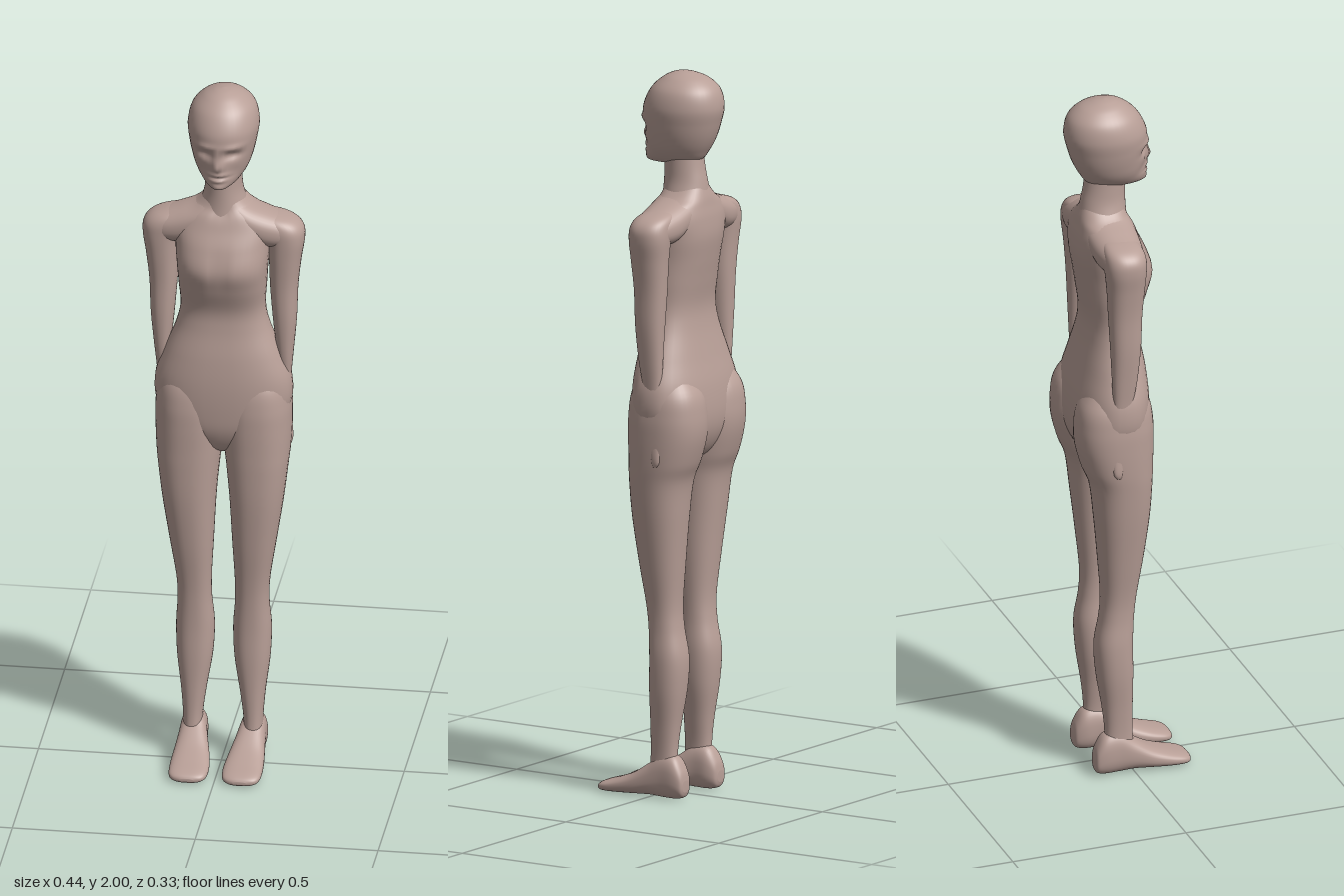
import * as THREE from 'three';

const SIDES = 40, STEPS = 6;

// Smooth closed loft. Each section is [height, xMin, xMax, zMin, zMax], listed upward.
function loft(sections, power = 2, steps = STEPS) {
  const n = sections.length, rows = [];
  const at = (i) => sections[Math.min(n - 1, Math.max(0, i))];
  for (let i = 0; i < n - 1; i++) {
    for (let s = 0; s < steps; s++) {
      const t = s / steps;
      rows.push(at(i).map((p1, k) => {
        const p0 = at(i - 1)[k], p2 = at(i + 1)[k], p3 = at(i + 2)[k];
        return 0.5 * (2 * p1 + (p2 - p0) * t + (2 * p0 - 5 * p1 + 4 * p2 - p3) * t * t
          + (3 * p1 - p0 - 3 * p2 + p3) * t * t * t);
      }));
    }
  }
  rows.push(at(n - 1));
  const pos = [], index = [];
  const bend = (v) => Math.sign(v) * Math.pow(Math.abs(v), 2 / power);
  for (const [y, x0, x1, z0, z1] of rows) {
    for (let j = 0; j < SIDES; j++) {
      const a = (j / SIDES) * Math.PI * 2;
      pos.push((x0 + x1) / 2 + bend(Math.cos(a)) * (x1 - x0) / 2, y,
        (z0 + z1) / 2 + bend(Math.sin(a)) * (z1 - z0) / 2);
    }
  }
  for (let i = 0; i < rows.length - 1; i++) {
    for (let j = 0; j < SIDES; j++) {
      const k = (j + 1) % SIDES, a = i * SIDES + j, b = i * SIDES + k;
      index.push(a, a + SIDES, b, b, a + SIDES, b + SIDES);
    }
  }
  // End caps
  const top = (rows.length - 1) * SIDES, c = rows.length * SIDES;
  for (const r of [rows[0], rows[rows.length - 1]]) pos.push((r[1] + r[2]) / 2, r[0], (r[3] + r[4]) / 2);
  for (let j = 0; j < SIDES; j++) {
    const k = (j + 1) % SIDES;
    index.push(c, j, k, c + 1, top + k, top + j);
  }
  const g = new THREE.BufferGeometry();
  g.setAttribute('position', new THREE.Float32BufferAttribute(pos, 3));
  g.setIndex(index);
  g.computeVertexNormals();
  return g;
}

// Symmetric section: [height, halfWidth, zMin, zMax]
const sym = (list) => list.map(([y, w, z0, z1]) => [y, -w, w, z0, z1]);

// Pushes front-facing vertices along z by soft bumps [x, y, radiusX, radiusY, amount]
function sculpt(g, bumps, zFrom) {
  const p = g.attributes.position;
  for (let i = 0; i < p.count; i++) {
    if (p.getZ(i) < zFrom) continue;
    let dz = 0;
    for (const [x, y, rx, ry, amount] of bumps) {
      dz += amount * Math.exp(-(((p.getX(i) - x) / rx) ** 2) - ((p.getY(i) - y) / ry) ** 2);
    }
    p.setZ(i, p.getZ(i) + dz);
  }
  g.computeVertexNormals();
  return g;
}

// Reflects a geometry in x, keeping its faces outward
function mirrored(g) {
  const m = g.clone().scale(-1, 1, 1), ix = m.index;
  for (let i = 0; i < ix.count; i += 3) {
    const b = ix.getX(i + 1);
    ix.setX(i + 1, ix.getX(i + 2));
    ix.setX(i + 2, b);
  }
  m.computeVertexNormals();
  return m;
}

export function createModel() {
  const model = new THREE.Group();
  model.name = 'standingFigure';
  const skin = new THREE.MeshStandardMaterial({ color: 0xb89f97 });
  skin.name = 'skin';
  const add = (name, g) => {
    const mesh = new THREE.Mesh(g, skin);
    mesh.name = name;
    model.add(mesh);
  };
  const addPair = (name, g) => {
    add('left' + name, g);
    add('right' + name, mirrored(g));
  };

  // Torso, from crotch to the base of the neck
  const torso = loft(sym([
    [0.925, 0.012, -0.07, -0.01], [0.95, 0.06, -0.115, 0.02], [1.0, 0.14, -0.145, 0.042],
    [1.06, 0.182, -0.156, 0.05], [1.14, 0.186, -0.15, 0.052], [1.22, 0.16, -0.132, 0.046],
    [1.3, 0.128, -0.115, 0.034], [1.36, 0.116, -0.11, 0.034], [1.43, 0.12, -0.12, 0.058],
    [1.49, 0.124, -0.13, 0.075], [1.55, 0.13, -0.138, 0.058], [1.6, 0.135, -0.136, 0.034],
    [1.635, 0.115, -0.13, 0.02], [1.66, 0.075, -0.125, 0.008], [1.69, 0.045, -0.115, 0.0],
  ]), 2.4);
  add('torso', sculpt(torso, [[0, 1.5, 0.018, 0.05, -0.008], [0, 1.65, 0.02, 0.02, -0.008]], 0));

  // Neck
  add('neck', loft(sym([
    [1.62, 0.075, -0.125, 0.015], [1.66, 0.064, -0.122, 0.01], [1.7, 0.053, -0.116, 0.008],
    [1.74, 0.05, -0.108, 0.008], [1.8, 0.05, -0.1, 0.01],
  ])));

  // Head with brow, eye sockets, nose, lips and chin
  const head = loft(sym([
    [1.742, 0.012, -0.01, 0.045], [1.745, 0.03, -0.06, 0.064], [1.757, 0.05, -0.1, 0.068],
    [1.785, 0.07, -0.122, 0.067], [1.82, 0.083, -0.14, 0.066], [1.86, 0.092, -0.153, 0.069],
    [1.905, 0.097, -0.162, 0.066], [1.95, 0.086, -0.152, 0.044], [1.98, 0.058, -0.122, 0.012],
    [1.995, 0.028, -0.083, -0.018], [2.0, 0.004, -0.052, -0.046],
  ]), 2.05, 9);
  const face = [
    [0, 1.813, 0.011, 0.018, 0.017], [0, 1.842, 0.009, 0.02, 0.008],
    [0, 1.789, 0.022, 0.006, 0.006], [0, 1.772, 0.02, 0.006, 0.006], [0, 1.78, 0.024, 0.003, -0.004],
    [0, 1.752, 0.02, 0.01, 0.004],
  ];
  for (const s of [-1, 1]) {
    face.push([s * 0.038, 1.845, 0.022, 0.013, -0.014], [s * 0.04, 1.869, 0.026, 0.009, 0.006],
      [s * 0.045, 1.79, 0.018, 0.022, -0.006]);
  }
  add('head', sculpt(head, face, 0));

  // Arms, with hands tucked into the hips
  addPair('Arm', loft([
    [0.935, 0.172, 0.182, -0.08, -0.065], [0.96, 0.165, 0.186, -0.09, -0.06],
    [1.05, 0.15, 0.18, -0.09, -0.04], [1.14, 0.15, 0.183, -0.085, -0.032],
    [1.22, 0.145, 0.19, -0.088, -0.018], [1.32, 0.135, 0.199, -0.092, -0.008],
    [1.42, 0.127, 0.203, -0.097, -0.004], [1.5, 0.124, 0.212, -0.102, 0.002],
    [1.56, 0.118, 0.221, -0.108, 0.006], [1.595, 0.1, 0.218, -0.108, 0.006],
    [1.618, 0.08, 0.196, -0.104, -0.002], [1.632, 0.07, 0.155, -0.092, -0.02],
    [1.637, 0.08, 0.12, -0.065, -0.045],
  ], 2.3));

  // Shoulder slope between neck and arm
  const slope = loft([
    [0.03, -1.69, -1.57, -0.122, 0.008], [0.07, -1.662, -1.56, -0.124, 0.016],
    [0.12, -1.643, -1.54, -0.12, 0.014], [0.17, -1.625, -1.54, -0.108, 0.004],
    [0.2, -1.605, -1.55, -0.09, -0.015],
  ], 2.3).rotateZ(-Math.PI / 2);
  // Turning swaps the axes: loft height runs along x, loft x runs along -y
  slope.scale(1, 1, 1);
  addPair('Shoulder', slope);

  // Legs, including the buttocks
  addPair('Leg', loft([
    [0.05, 0.055, 0.11, -0.085, 0.005], [0.12, 0.056, 0.109, -0.078, 0.0],
    [0.2, 0.046, 0.115, -0.085, 0.0], [0.3, 0.03, 0.127, -0.1, 0.001],
    [0.39, 0.026, 0.13, -0.105, 0.0], [0.47, 0.032, 0.125, -0.092, 0.003],
    [0.54, 0.032, 0.128, -0.088, 0.01], [0.65, 0.026, 0.145, -0.097, 0.026],
    [0.78, 0.019, 0.165, -0.11, 0.041], [0.88, 0.01, 0.177, -0.122, 0.047],
    [0.94, 0.002, 0.183, -0.145, 0.049], [1.01, -0.004, 0.186, -0.163, 0.051],
    [1.07, -0.002, 0.185, -0.165, 0.05], [1.13, 0.012, 0.175, -0.153, 0.04],
    [1.19, 0.05, 0.14, -0.11, 0.01],
  ], 2.3));

  // Feet, lofted from heel to toe; the last two numbers are minus top and minus sole height
  addPair('Foot', loft([
    [-0.111, 0.07, 0.1, -0.055, -0.025], [-0.104, 0.057, 0.11, -0.085, -0.01],
    [-0.08, 0.047, 0.116, -0.12, -0.004], [-0.04, 0.044, 0.117, -0.125, -0.004],
    [0.0, 0.036, 0.12, -0.098, -0.006], [0.05, 0.025, 0.125, -0.066, -0.004],
    [0.1, 0.019, 0.127, -0.046, -0.002], [0.14, 0.022, 0.124, -0.034, -0.002],
    [0.158, 0.034, 0.112, -0.026, -0.004], [0.165, 0.055, 0.09, -0.018, -0.009],
  ], 2.5).rotateX(Math.PI / 2));

  return model;
}
